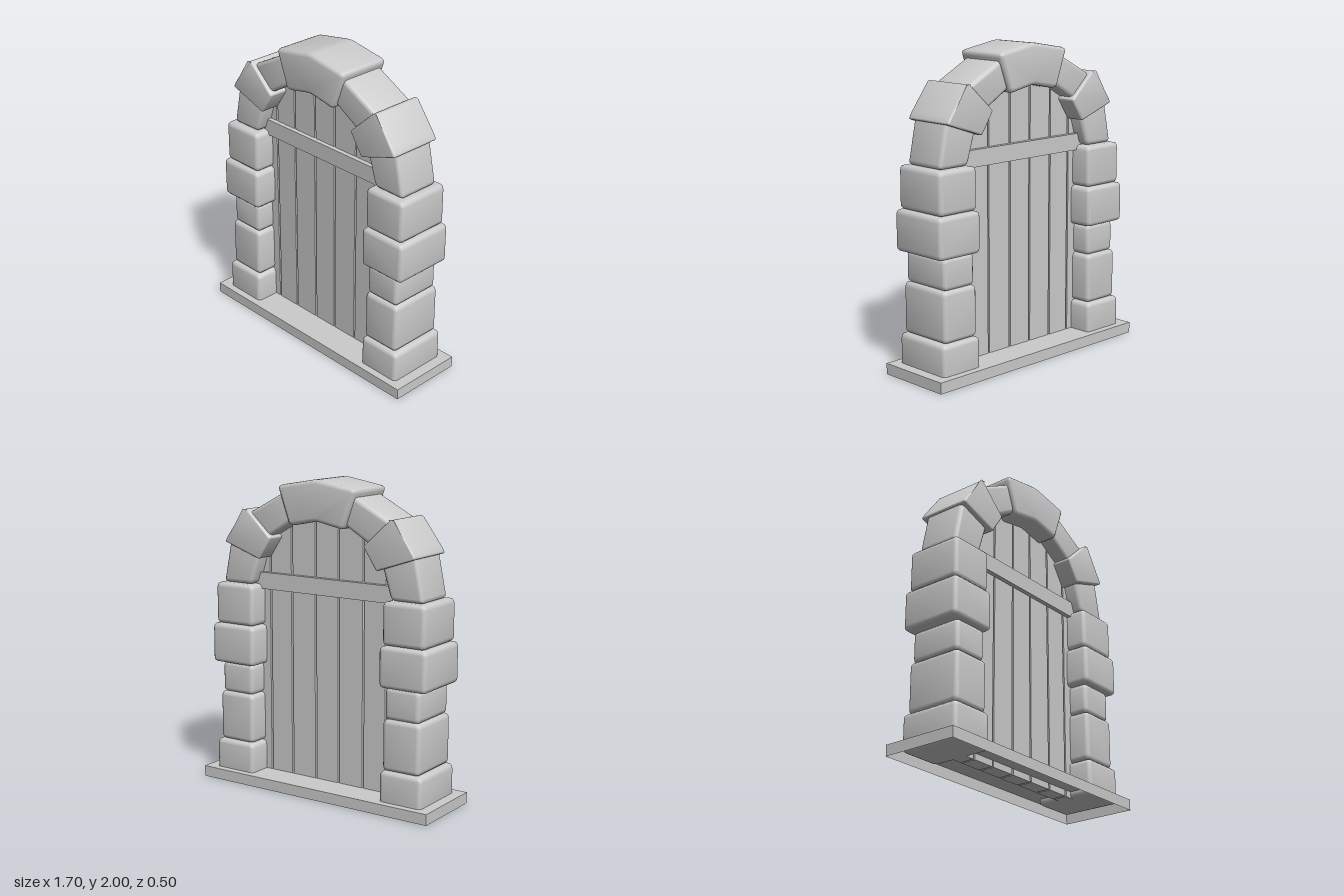
import * as THREE from 'three';
import { toCreasedNormals } from 'three/addons/utils/BufferGeometryUtils.js';

const grey = new THREE.MeshStandardMaterial({ color: 0xcccccc });
const greyOpen = new THREE.MeshStandardMaterial({ color: 0xcccccc, side: THREE.DoubleSide });

function add(parent, name, geometry, material = grey) {
  const mesh = new THREE.Mesh(geometry, material);
  mesh.name = name;
  parent.add(mesh);
  return mesh;
}

// Stone with softened edges: a rounded outline (counter-clockwise) extruded across z
function stoneGeometry(points, halfDepth, radius = 0.032, bevel = 0.025) {
  const pts = points.map(([x, y]) => new THREE.Vector2(x, y));
  const shape = new THREE.Shape();
  pts.forEach((p, i) => {
    const prev = pts[(i + pts.length - 1) % pts.length];
    const next = pts[(i + 1) % pts.length];
    const a = p.clone().add(prev.clone().sub(p).setLength(radius));
    const b = p.clone().add(next.clone().sub(p).setLength(radius));
    if (i === 0) shape.moveTo(a.x, a.y);
    else shape.lineTo(a.x, a.y);
    shape.quadraticCurveTo(p.x, p.y, b.x, b.y);
  });
  shape.closePath();
  const depth = 2 * (halfDepth - bevel);
  const geometry = new THREE.ExtrudeGeometry(shape, {
    depth, curveSegments: 3, bevelEnabled: true, bevelSegments: 3,
    bevelSize: bevel, bevelThickness: bevel, bevelOffset: -bevel,
  });
  geometry.translate(0, 0, -depth / 2);
  return toCreasedNormals(geometry, 0.75);
}

const rect = (x0, x1, y0, y1) => [[x0, y0], [x1, y0], [x1, y1], [x0, y1]];
const mirror = (points) => points.map(([x, y]) => [-x, y]).reverse();

export function createModel() {
  const model = new THREE.Group();
  model.name = 'archedDoorway';

  // Base slab, hollow underneath
  const slab = new THREE.BoxGeometry(1.7, 0.07, 0.5);
  const index = Array.from(slab.index.array);
  index.splice(18, 6); // leave out the bottom face
  slab.setIndex(index);
  add(model, 'baseSlab', slab, greyOpen).position.y = 0.035;

  // Stones of one side: outline and half depth
  const stones = [
    ['pillarStone1', rect(0.485, 0.78, 0.03, 0.262), 0.203],
    ['pillarStone2', rect(0.495, 0.757, 0.263, 0.585), 0.185],
    ['pillarStone3', rect(0.503, 0.745, 0.583, 0.782), 0.173],
    ['pillarStone4', rect(0.475, 0.802, 0.78, 1.037), 0.203],
    ['pillarStone5', rect(0.487, 0.782, 1.038, 1.305), 0.185],
    ['archStone1', [[0.52, 1.305], [0.748, 1.305], [0.685, 1.61], [0.45, 1.53]], 0.145],
    ['archStone2', [[0.437, 1.48], [0.708, 1.572], [0.69, 1.605], [0.552, 1.79], [0.53, 1.79], [0.345, 1.62]], 0.178],
    ['archStone3', [[0.41, 1.605], [0.555, 1.755], [0.235, 1.925], [0.155, 1.755]], 0.152],
  ];
  const sides = { left: (p) => p, right: mirror };
  for (const [side, place] of Object.entries(sides)) {
    const group = new THREE.Group();
    group.name = side + 'Stones';
    model.add(group);
    for (const [name, outline, halfDepth] of stones) {
      const radius = name === 'archStone2' ? 0.012 : 0.032;
      add(group, name, stoneGeometry(place(outline), halfDepth, radius, Math.min(0.025, radius)));
    }
  }

  // Keystone at the crown of the arch
  const keystone = [[-0.2, 1.705], [0, 1.745], [0.2, 1.705], [0.29, 1.952], [0, 2.002], [-0.29, 1.952]];
  add(model, 'keystone', stoneGeometry(keystone, 0.18));

  // Door planks with narrow gaps, each ending behind the arch
  const door = new THREE.Group();
  door.name = 'door';
  model.add(door);
  const gaps = [-0.57, -0.437, -0.27, -0.087, 0.087, 0.27, 0.437, 0.57];
  const tops = [1.53, 1.68, 1.79, 1.83, 1.79, 1.68, 1.53];
  tops.forEach((top, i) => {
    const width = gaps[i + 1] - gaps[i] - 0.012;
    const bottom = 0.03;
    const plank = add(door, 'plank' + (i + 1), new THREE.BoxGeometry(width, top - bottom, 0.1));
    plank.position.set((gaps[i] + gaps[i + 1]) / 2, (top + bottom) / 2, 0);
  });

  // Cross bar standing proud of both faces of the door
  add(door, 'crossBar', new THREE.BoxGeometry(1.08, 0.107, 0.16)).position.y = 1.328;

  return model;
}
